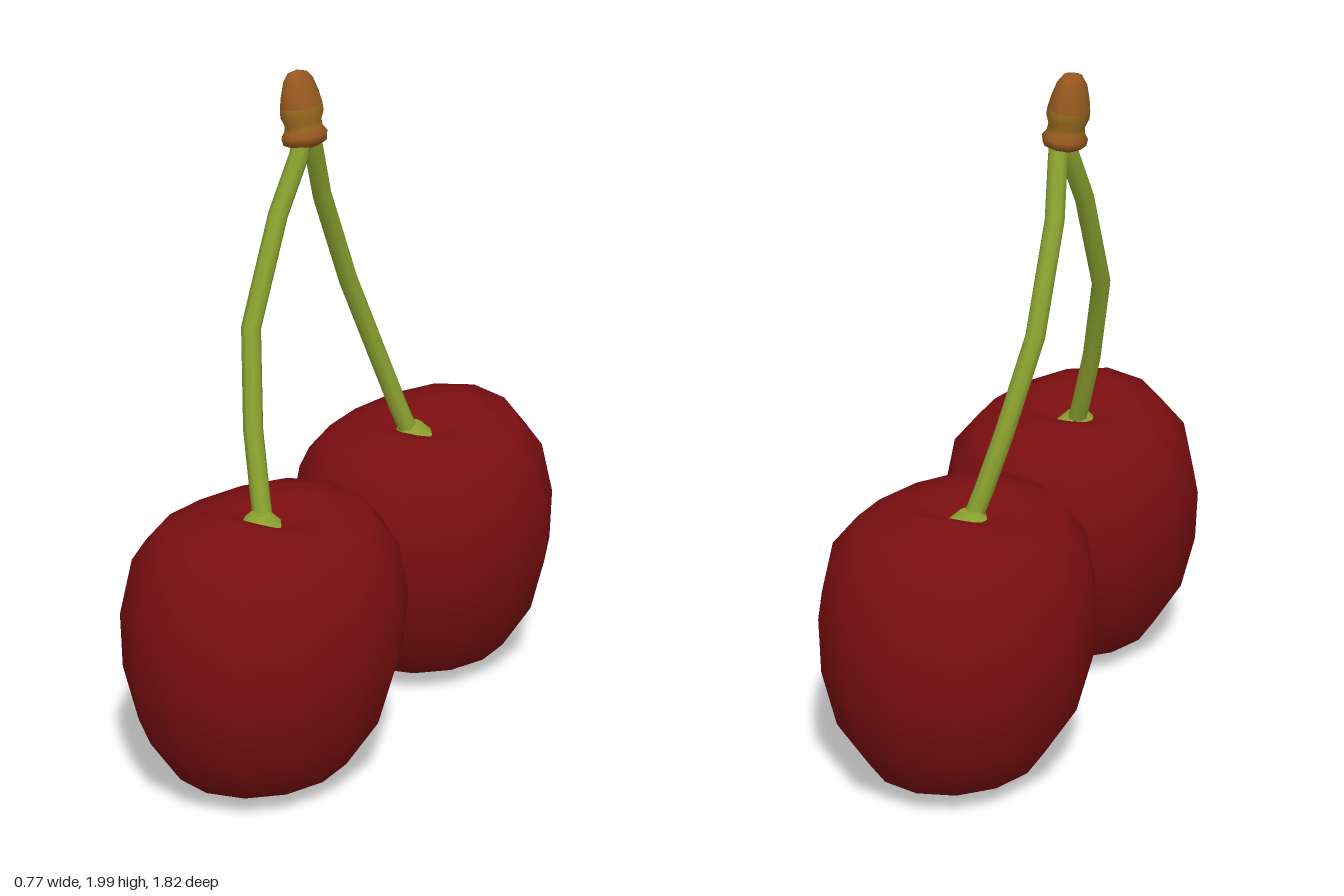
import * as THREE from 'three';
import { mergeVertices } from 'three/addons/utils/BufferGeometryUtils.js';

const paint = (name, hex) => {
  const m = new THREE.MeshStandardMaterial({ color: hex });
  m.name = name;
  return m;
};

// Straight-segmented path, so the stems keep their soft kinks
class Polyline extends THREE.Curve {
  constructor(points) { super(); this.points = points; }
  getPoint(t, target = new THREE.Vector3()) {
    const n = this.points.length - 1;
    const i = Math.min(Math.floor(t * n + 1e-9), n - 1);
    return target.lerpVectors(this.points[i], this.points[i + 1], t * n - i);
  }
  getPointAt(t, target) { return this.getPoint(t, target); }
  getTangentAt(t, target) { return this.getTangent(t, target); }
}

// Weld the seam of a lathe and smooth it
function smooth(geometry) {
  geometry.deleteAttribute('uv');
  geometry.deleteAttribute('normal');
  const welded = mergeVertices(geometry, 1e-4);
  welded.computeVertexNormals();
  return welded;
}

const lathe = (profile, sides) =>
  new THREE.LatheGeometry(profile.map(([r, y]) => new THREE.Vector2(r, y)), sides);

// Fruit: lathe with a dimple, uneven lobes and a slight lean; +z is the outer side
function cherryGeometry() {
  const g = lathe([[0, 0.01], [0.32, 0.025], [0.64, 0.078], [0.87, 0.22], [0.98, 0.39], [1, 0.55],
    [0.92, 0.71], [0.74, 0.8], [0.45, 0.833], [0.25, 0.815], [0.1, 0.785], [0, 0.775]], 14);
  const p = g.attributes.position;
  for (let i = 0; i < p.count; i++) {
    const x = p.getX(i), y = p.getY(i), z = p.getZ(i);
    const r = Math.hypot(x, z), a = Math.atan2(x, z);
    const w = Math.min(1, r / 0.4) * Math.max(0, Math.min(1, (y - 0.5) / 0.3));
    const lift = w * (0.015 * Math.cos(a) + 0.0225 * Math.cos(2 * a));
    p.setXYZ(i, x * 0.395, y + lift, z * 0.457 - 0.05 * (y - 0.48));
  }
  return smooth(g);
}

export function createModel() {
  const model = new THREE.Group();
  model.name = 'cherryPair';
  const red = paint('cherry red', 0x7a0e10);
  const green = paint('stem green', 0x8aa02f);
  const brown = paint('tip brown', 0x96581f);
  const ochre = paint('bud ochre', 0x9c6c20);

  const add = (parent, name, geometry, material) => {
    const mesh = new THREE.Mesh(geometry, material);
    mesh.name = name;
    parent.add(mesh);
    return mesh;
  };

  const fruit = cherryGeometry();
  for (const [label, s] of [['front', 1], ['back', -1]]) {
    const cherry = add(model, label + 'Cherry', fruit, red);
    cherry.position.z = 0.457 * s;
    if (s < 0) cherry.rotation.y = Math.PI;

    // Stem
    const path = [[-0.02, 0.76, 0.425], [-0.055, 0.87, 0.395], [-0.1, 1.03, 0.355], [-0.16, 1.3, 0.268],
      [-0.16, 1.6, 0.12], [-0.138, 1.76, 0.04], [-0.137, 1.83, 0.02]]
      .map(([x, y, z]) => new THREE.Vector3(x, y, z * s));
    add(model, label + 'Stem', new THREE.TubeGeometry(new Polyline(path), path.length - 1, 0.029, 8), green);

    // Flared foot in the dimple
    const foot = add(model, label + 'StemFoot', new THREE.CylinderGeometry(0.03, 0.068, 0.035, 8), green);
    foot.position.set(-0.027, 0.797, 0.432 * s);
  }

  // Woody bud joining the stems, leaning to one side
  const bud = new THREE.Group();
  bud.name = 'bud';
  bud.position.set(-0.139, 1.77, 0);
  bud.rotation.z = 0.13;
  bud.scale.x = 0.8;
  model.add(bud);
  add(bud, 'budCollar', smooth(lathe(
    [[0, 0.012], [0.045, 0.008], [0.076, 0.022], [0.08, 0.042], [0.066, 0.06]], 10)), brown);
  add(bud, 'budNeck', smooth(lathe(
    [[0.066, 0.06], [0.064, 0.078], [0.075, 0.102], [0.074, 0.125]], 10)), ochre);
  add(bud, 'budTip', smooth(lathe(
    [[0.074, 0.125], [0.066, 0.16], [0.052, 0.2], [0.034, 0.222], [0, 0.231]], 10)), brown);

  return model;
}
